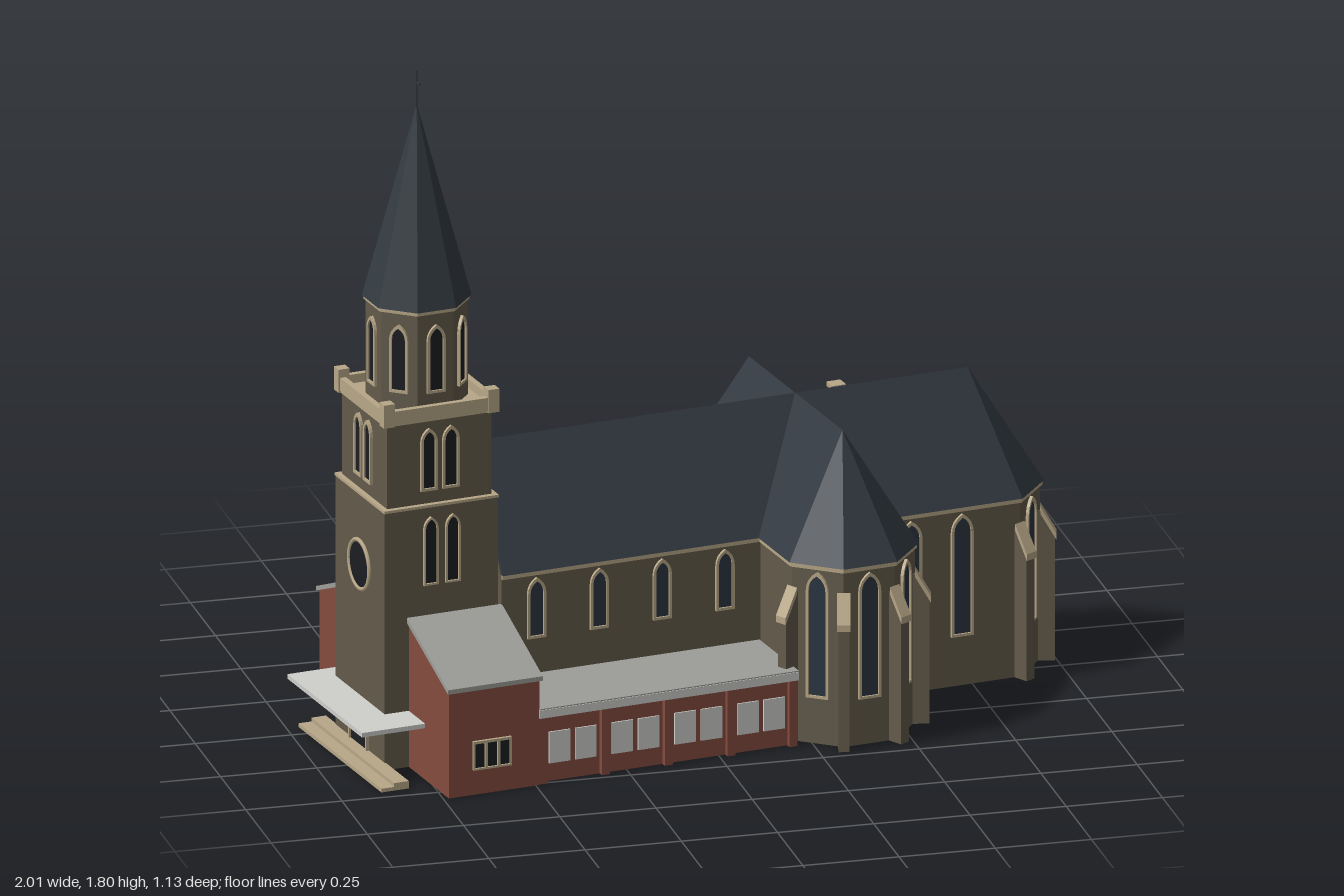
import * as THREE from 'three';

const mat = (name, color, side = THREE.FrontSide) => {
  const m = new THREE.MeshStandardMaterial({ color, side });
  m.name = name;
  return m;
};

export function createModel() {
  const stone = mat('stone', 0x635b4b, THREE.DoubleSide), slate = mat('slate', 0x333a41, THREE.DoubleSide);
  const tan = mat('sandstone', 0xb9a888), brick = mat('brick', 0x854c3f, THREE.DoubleSide);
  const grey = mat('greyRoof', 0x9d9e99), pale = mat('paleConcrete', 0xd0d1cc);
  const dark = mat('darkGlass', 0x1b1e21), blue = mat('blueGlass', 0x2c3642), iron = mat('iron', 0x33353a);

  const model = new THREE.Group();
  model.name = 'church';
  const root = new THREE.Group();
  root.name = 'building';
  root.rotation.y = 0.153;
  root.position.z = 0.007;
  model.add(root);

  const add = (parent, name, geo, m) => {
    const mesh = new THREE.Mesh(geo, m);
    mesh.name = name;
    parent.add(mesh);
    return mesh;
  };
  const box = (p, name, m, x0, x1, y0, y1, z0, z1) =>
    add(p, name, new THREE.BoxGeometry(x1 - x0, y1 - y0, z1 - z0)
      .translate((x0 + x1) / 2, (y0 + y1) / 2, (z0 + z1) / 2), m);
  // Profile of [z, y] points swept along x
  const prism = (p, name, m, pts, x0, x1) => {
    const shape = new THREE.Shape(pts.map(q => new THREE.Vector2(...q)));
    return add(p, name, new THREE.ExtrudeGeometry(shape, { depth: x1 - x0, bevelEnabled: false })
      .rotateY(-Math.PI / 2).translate(x1, 0, 0), m);
  };
  const faces = (p, name, m, corners) => {
    const g = new THREE.BufferGeometry();
    g.setAttribute('position', new THREE.Float32BufferAttribute(corners.flat(), 3));
    g.computeVertexNormals();
    return add(p, name, g, m);
  };
  // Hollow walls along a plan path of [x, z, top]
  const shell = (p, name, m, path, y0 = 0) => {
    const c = [];
    for (let i = 0; i < path.length - 1; i++) {
      const [ax, az, at] = path[i], [bx, bz, bt] = path[i + 1];
      c.push([ax, y0, az], [ax, at, az], [bx, bt, bz], [ax, y0, az], [bx, bt, bz], [bx, y0, bz]);
    }
    return faces(p, name, m, c);
  };
  const room = (p, name, m, x0, x1, z0, z1, h0, h1 = h0) =>
    shell(p, name, m, [[x0, z0, h0], [x1, z0, h0], [x1, z1, h1], [x0, z1, h1], [x0, z0, h0]]);
  const octagon = (p, name, m, rTop, rBottom, y0, y1) => {
    const g = new THREE.CylinderGeometry(rTop, rBottom, y1 - y0, 8).rotateY(Math.PI / 8).toNonIndexed();
    g.computeVertexNormals();
    return add(p, name, g.translate(0, (y0 + y1) / 2, 0), m);
  };
  // Group whose +z points outward along plan angle a (0 = +x, 90 degrees = +z)
  const facing = (p, name, x, z, a) => {
    const g = new THREE.Group();
    g.name = name;
    g.position.set(x, 0, z);
    g.rotation.y = Math.PI / 2 - a;
    p.add(g);
    return g;
  };
  const S = Math.PI / 2, N = -Math.PI / 2, W = Math.PI, E = 0;

  // Pointed-arch or square opening with a thin frame
  const outline = (w, y0, y1, arched) => {
    const s = new THREE.Shape(), h = w / 2, spring = arched ? y1 - w * 0.85 : y1;
    s.moveTo(-h, y0).lineTo(h, y0).lineTo(h, spring);
    if (arched) {
      s.quadraticCurveTo(h, y1 - w * 0.3, 0, y1);
      s.quadraticCurveTo(-h, y1 - w * 0.3, -h, spring);
    } else s.lineTo(-h, y1);
    s.closePath();
    return s;
  };
  const opening = (p, x, z, a, w, y0, y1, glass = dark, arched = true, frameMat = tan) => {
    const g = facing(p, 'window', x, z, a), t = w > 0.03 ? 0.007 : 0.005;
    const frame = outline(w + 2 * t, y0 - t, y1 + t * 1.4, arched);
    frame.holes.push(outline(w, y0, y1, arched));
    add(g, 'windowFrame', new THREE.ExtrudeGeometry(frame, { depth: 0.008, bevelEnabled: false, curveSegments: 4 }), frameMat);
    add(g, 'windowGlass', new THREE.ShapeGeometry(outline(w, y0, y1, arched), 4).translate(0, 0, 0.003), glass);
  };
  const buttress = (p, x, z, a, low, high, d = 0.037) => {
    const g = facing(p, 'buttress', x, z, a), w = 0.014;
    prism(g, 'buttressBody', stone, [[-0.01, 0], [d, 0], [d, low], [0, high], [-0.01, high]], -w, w);
    prism(g, 'buttressCap', tan, [[d + 0.004, low - 0.012], [d + 0.004, low + 0.006], [0, high + 0.012], [0, high - 0.006]], -w - 0.003, w + 0.003);
  };

  // Main cross-shaped body: four hollow arms around the crossing
  const R = 0.168, CX = 0.317, CZ = 0.015, EAVE = 0.478, RIDGE = 0.782, K = Math.tan(Math.PI / 8);
  const plan = (start, L, r, y, apse) => (apse
    ? [[start, -r], [L + r * K, -r], [L + r, -r * K], [L + r, r * K], [L + r * K, r], [start, r]]
    : [[start, -r], [L, -r], [L, r], [start, r]]).map(q => [...q, y]);
  const arm = (name, L, turn, apse) => {
    const g = new THREE.Group();
    g.name = name;
    g.position.set(CX, 0, CZ);
    g.rotation.y = turn;
    root.add(g);
    shell(g, 'walls', stone, plan(R, L, R, EAVE, apse));
    shell(g, 'cornice', tan, plan(R, L, R + 0.005, EAVE - 0.001, apse), EAVE - 0.012);
    const e = plan(0, L, R + 0.009, EAVE, apse).map(([x, z, y]) => [x, y, z]);
    const a = [0, RIDGE, 0], b = [L, RIDGE, 0], n = e.length, tri = [];
    tri.push(e[0], a, b, e[0], b, e[1]);
    for (let i = 1; i < n - 2; i++) tri.push(e[i], b, e[i + 1]);
    tri.push(e[n - 2], b, a, e[n - 2], a, e[n - 1]);
    faces(g, 'roof', slate, tri);
    if (!apse) {
      prism(g, 'gable', stone, [[-R, EAVE - 0.01], [R, EAVE - 0.01], [0, RIDGE - 0.012]], L - 0.01, L + 0.002);
      return;
    }
    for (const k of [-1, 0, 1]) {
      const t = k * Math.PI / 4;
      opening(g, L + R * Math.cos(t), R * Math.sin(t), t, 0.046, 0.13, 0.45, blue);
    }
    for (const k of [-3, -1, 1, 3]) {
      const t = k * Math.PI / 8, c = R / Math.cos(Math.PI / 8);
      buttress(g, L + c * Math.cos(t), c * Math.sin(t), t, 0.335, 0.4);
    }
  };
  arm('nave', 0.877, Math.PI, false);
  arm('choir', 0.473, 0, true);
  arm('northTransept', 0.291, Math.PI / 2, true);
  arm('southTransept', 0.298, -Math.PI / 2, true);

  for (const x of [-0.466, -0.294, -0.122, 0.05]) {
    opening(root, x, CZ + R, S, 0.036, 0.305, 0.45, blue);
    opening(root, x, CZ - R, N, 0.036, 0.355, 0.45, blue);
    opening(root, x, -0.363, N, 0.036, 0.075, 0.19, dark);
  }
  for (const x of [0.56, 0.7]) {
    opening(root, x, CZ + R, S, 0.046, 0.14, 0.45, blue);
    opening(root, x, CZ - R, N, 0.046, 0.24, 0.45, blue);
  }
  // East side windows of the transepts
  opening(root, CX + R, 0.292, E, 0.046, 0.13, 0.45, blue);
  opening(root, CX + R, -0.254, E, 0.046, 0.31, 0.45, blue);

  // North aisle with lean-to roof
  room(root, 'northAisle', stone, -0.56, 0.15, -0.363, -0.156, 0.23, 0.325);
  prism(root, 'northAisleRoof', slate, [[-0.15, 0.325], [-0.15, 0.34], [-0.373, 0.24], [-0.373, 0.226]], -0.562, 0.15);
  for (const x of [-0.545, -0.375, -0.205, -0.035, 0.125]) buttress(root, x, -0.363, N, 0.165, 0.215, 0.033);

  // Flat-roofed brick south aisle
  room(root, 'southAisle', brick, -0.567, 0.142, 0.187, 0.412, 0.18);
  box(root, 'southAisleFascia', pale, -0.565, 0.146, 0.178, 0.2, 0.18, 0.434);
  box(root, 'southAisleRoof', grey, -0.565, 0.146, 0.2, 0.203, 0.18, 0.432);
  [-0.552, -0.38, -0.208, -0.036, 0.134].forEach((x, i) => {
    box(root, 'brickPier', brick, x - 0.011, x + 0.011, 0, 0.178, 0.4, 0.427);
    if (i < 4) for (const s of [-1, 1]) {
      const c = x + 0.086 + s * 0.036;
      box(root, 'aislePane', pale, c - 0.029, c + 0.029, 0.048, 0.132, 0.411, 0.416);
    }
  });

  // Brick wings either side of the tower
  const TX = -0.723, TZ = 0.022;
  for (const s of [1, -1]) {
    const inner = TZ + s * 0.157, outer = TZ + s * 0.408;
    if (s > 0) room(root, 'southBrickWing', brick, -0.812, -0.564, inner, outer, 0.388, 0.285);
    else room(root, 'northBrickWing', brick, -0.812, -0.564, outer, inner, 0.285, 0.388);
    prism(root, 'brickWingRoof', grey, [[inner, 0.386], [outer + s * 0.008, 0.281], [outer + s * 0.008, 0.293], [inner, 0.4]], -0.818, -0.558);
    const [w, y0, y1] = s > 0 ? [0.027, 0.072, 0.137] : [0.034, 0.16, 0.24];
    for (const k of [-1, 0, 1]) opening(root, -0.695 + k * (w + 0.007), outer, s * S, w, y0, y1, dark, false);
  }
  opening(root, -0.68, TZ - 0.408, N, 0.06, 0.005, 0.1, dark, false, brick);

  // Tower
  const tower = new THREE.Group();
  tower.name = 'tower';
  tower.position.set(TX, 0, TZ);
  root.add(tower);
  const square = (name, m, h, y0, y1) => box(tower, name, m, -h, h, y0, y1, -h, h);
  room(tower, 'towerBase', stone, -0.155, 0.155, -0.155, 0.155, 0.69);
  square('towerLedge', tan, 0.157, 0.686, 0.693);
  square('towerUpperStage', stone, 0.143, 0.69, 0.92);
  square('galleryFloor', tan, 0.152, 0.915, 0.932);
  for (let i = 0; i < 4; i++) {
    const a = i * Math.PI / 2, nx = Math.cos(a), nz = Math.sin(a);
    const side = facing(tower, 'galleryParapet', nx * 0.146, nz * 0.146, a);
    box(side, 'parapetWall', tan, -0.146, 0.146, 0.92, 0.955, -0.008, 0.008);
    box(side, 'cornerPost', tan, 0.128, 0.158, 0.915, 0.977, -0.018, 0.012);
    for (const k of [-1, 1]) {
      const o = k * 0.03;
      opening(tower, nx * 0.143 - nz * o, nz * 0.143 + nx * o, a, 0.032, 0.735, 0.885);
      if (nz * nz > 0.5) opening(tower, nx * 0.155 - nz * o, nz * 0.155 + nx * o, a, 0.03, 0.485, 0.655);
    }
  }
  octagon(tower, 'belfry', stone, 0.129, 0.129, 0.93, 1.195);
  octagon(tower, 'belfryCornice', tan, 0.133, 0.133, 1.188, 1.2);
  octagon(tower, 'spire', slate, 0.001, 0.138, 1.198, 1.705);
  for (let i = 0; i < 8; i++) {
    const a = i * Math.PI / 4;
    opening(tower, 0.119 * Math.cos(a), 0.119 * Math.sin(a), a, 0.036, 0.985, 1.15);
  }
  box(tower, 'crossPost', iron, -0.002, 0.002, 1.69, 1.8, -0.002, 0.002);
  box(tower, 'crossArm', iron, -0.002, 0.002, 1.764, 1.769, -0.018, 0.018);

  // West front: round window, doorway, canopy and steps
  const west = facing(tower, 'westFront', -0.155, 0, W);
  add(west, 'roundWindowGlass', new THREE.CircleGeometry(0.063, 24).translate(0, 0.5, 0.003), dark);
  add(west, 'roundWindowFrame', new THREE.TorusGeometry(0.064, 0.006, 6, 24).translate(0, 0.5, 0.002), tan);
  opening(tower, -0.155, 0, W, 0.1, 0.02, 0.125, dark, false);
  box(root, 'canopy', pale, -0.985, -0.81, 0.138, 0.15, -0.19, 0.28);
  box(root, 'lowerStep', tan, -0.95, -0.91, 0, 0.01, -0.2, 0.322);
  box(root, 'upperStep', tan, -0.915, -0.875, 0, 0.02, -0.2, 0.322);

  // Flat-roofed vestry and chimney
  room(root, 'vestry', stone, 0.483, 0.767, -0.453, -0.156, 0.203);
  box(root, 'vestryRoof', tan, 0.479, 0.771, 0.2, 0.213, -0.457, -0.152);
  for (const z of [-0.24, -0.35]) opening(root, 0.767, z, E, 0.032, 0.08, 0.148, dark, false);
  for (const x of [0.55, 0.625, 0.7]) opening(root, x, -0.453, N, 0.032, 0.08, 0.148, dark, false);
  box(root, 'chimney', stone, 0.482, 0.512, 0.2, 0.722, -0.155, -0.125);
  box(root, 'chimneyCap', tan, 0.478, 0.516, 0.718, 0.73, -0.159, -0.121);

  return model;
}
